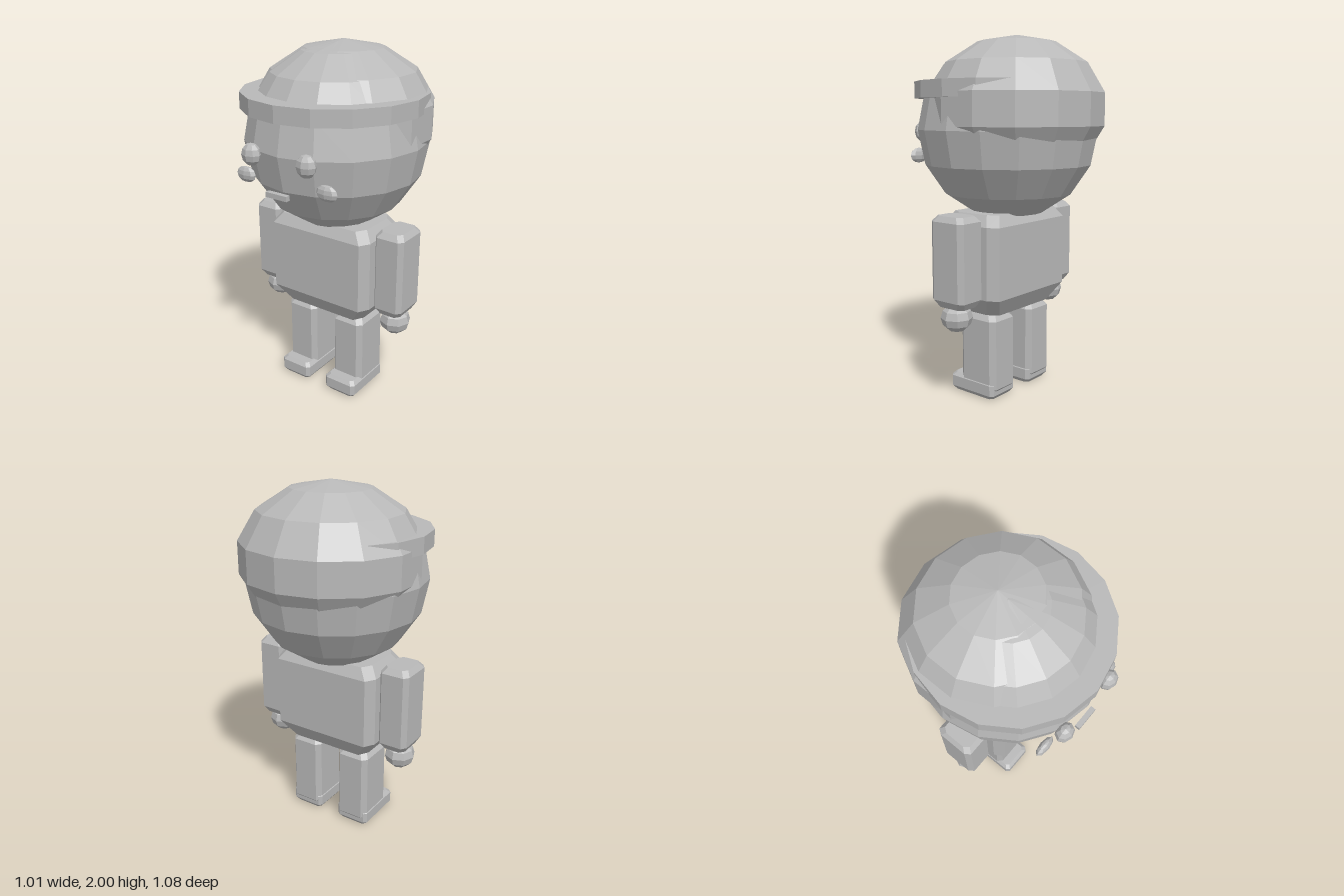
import * as THREE from 'three';
import { ConvexGeometry } from 'three/addons/geometries/ConvexGeometry.js';

const grey = new THREE.MeshStandardMaterial({ color: 0xb8b8b8 });
grey.name = 'plain grey';

// Faceted mesh: split vertices so every face is flat
function part(name, geometry, x = 0, y = 0, z = 0) {
  const flat = geometry.index ? geometry.toNonIndexed() : geometry;
  flat.computeVertexNormals();
  const mesh = new THREE.Mesh(flat, grey);
  mesh.name = name;
  mesh.position.set(x, y, z);
  return mesh;
}

// Low-poly ellipsoid with a vertex column facing front
function ball(rx, ry, rz, segments, rings) {
  return new THREE.SphereGeometry(1, segments, rings, Math.PI / 2).scale(rx, ry, rz);
}

// Chamfered block: hull of octagonal rings [y, halfWidth, halfDepth], corners cut by cx and cz
function block(rings, cx, cz) {
  const points = [];
  for (const [y, w, d] of rings)
    for (const sx of [-1, 1])
      for (const sz of [-1, 1])
        points.push(
          new THREE.Vector3(sx * w, y, sz * (d - cz)),
          new THREE.Vector3(sx * (w - cx), y, sz * d));
  return new ConvexGeometry(points);
}

export function createModel() {
  const model = new THREE.Group();
  model.name = 'figure';

  // Head, hair and headband
  model.add(part('head', ball(0.5, 0.5, 0.505, 16, 8), 0, 1.49, 0));
  model.add(part('hair', ball(0.51, 0.4, 0.49, 14, 7), 0, 1.6, -0.06));
  model.add(part('headband', new THREE.CylinderGeometry(0.503, 0.503, 0.09, 16), 0, 1.705, 0.02));
  model.add(part('mouth', new THREE.BoxGeometry(0.134, 0.027, 0.028), 0, 1.292, 0.511));

  // Torso
  model.add(part('torso', block([
    [0.485, 0.25, 0.13], [0.59, 0.325, 0.195], [0.985, 0.325, 0.195], [1.045, 0.28, 0.16],
  ], 0.035, 0.06), 0, 0, 0.02));

  // Mirrored parts
  for (const [side, s] of [['left', 1], ['right', -1]]) {
    model.add(part(side + 'Eye', ball(0.056, 0.06, 0.045, 8, 6), s * 0.175, 1.475, 0.498));
    model.add(part(side + 'Cheek', ball(0.064, 0.043, 0.026, 8, 6), s * 0.26, 1.342, 0.45));
    model.add(part(side + 'Arm', block([
      [0.56, 0.065, 0.09], [0.6, 0.087, 0.115], [1.02, 0.087, 0.115], [1.05, 0.065, 0.09],
    ], 0.022, 0.03), s * 0.413, 0, 0.017));
    model.add(part(side + 'Hand', ball(0.087, 0.078, 0.087, 8, 6), s * 0.413, 0.498, 0.02));
    model.add(part(side + 'Leg', block([
      [0.03, 0.075, 0.1], [0.06, 0.098, 0.125], [0.45, 0.098, 0.125], [0.48, 0.075, 0.1],
    ], 0.025, 0.03), s * 0.162, 0, 0.02));
    model.add(part(side + 'Foot', block([
      [0, 0.083, 0.137], [0.025, 0.102, 0.156], [0.085, 0.102, 0.156], [0.105, 0.083, 0.137],
    ], 0.018, 0.018), s * 0.162, 0, 0.06));
  }
  return model;
}
